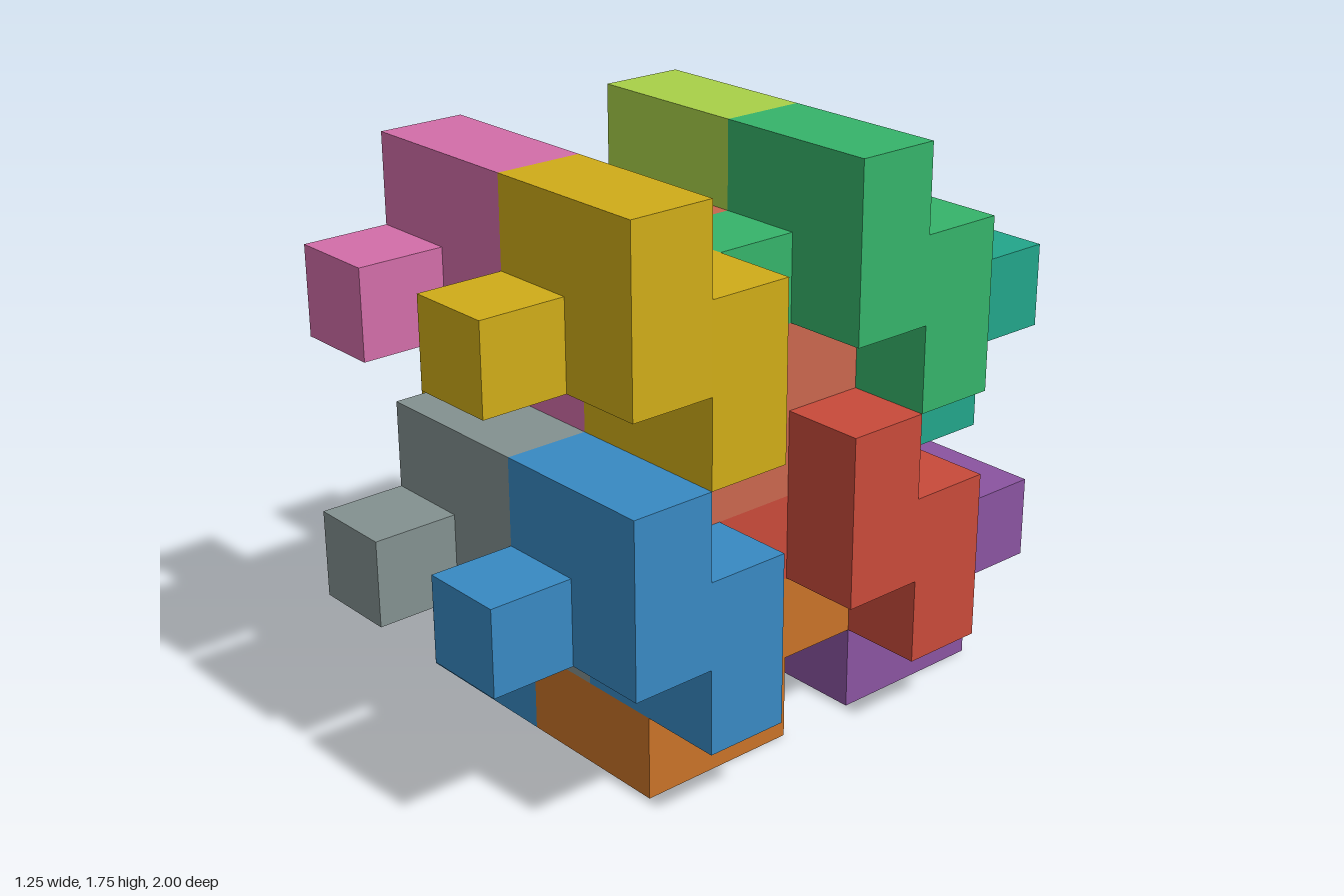
import * as THREE from 'three';

const C = 0.25; // edge of one cubic cell

// Z-shaped bar, two cells long, running along +x from the origin
function makeBarGeometry() {
  const outline = [[-1.5, -1.5], [0.5, -1.5], [0.5, -0.5], [1.5, -0.5],
    [1.5, 0.5], [-0.5, 0.5], [-0.5, -0.5], [-1.5, -0.5]];
  const shape = new THREE.Shape(outline.map(([u, v]) => new THREE.Vector2(u * C, v * C)));
  return new THREE.ExtrudeGeometry(shape, { depth: 2 * C, bevelEnabled: false }).rotateY(Math.PI / 2);
}

// One puzzle piece: Z bar with a cubic knob on its first cell
function makePiece(name, color, bar, knob) {
  const piece = new THREE.Group();
  piece.name = name;
  const material = new THREE.MeshStandardMaterial({ color });
  const body = new THREE.Mesh(bar, material);
  body.name = 'bar';
  const stud = new THREE.Mesh(knob, material);
  stud.name = 'knob';
  stud.position.set(C / 2, C, 0);
  piece.add(body, stud);
  return piece;
}

export function createModel() {
  const model = new THREE.Group();
  model.name = 'interlockingBlocks';
  const bar = makeBarGeometry();
  const knob = new THREE.BoxGeometry(C, C, C);

  // Four identical clusters, stacked two high and two deep, each in three colours
  const clusters = [
    { name: 'lowerFront', up: 0, back: 0, colors: [0x839190, 0x3889c2, 0xc87228] },
    { name: 'upperFront', up: 3, back: 0, colors: [0xd26da8, 0xcfac18, 0xc9664e] },
    { name: 'lowerBack', up: 0, back: 3, colors: [0x34495e, 0xc84a3a, 0x8a54a0] },
    { name: 'upperBack', up: 3, back: 3, colors: [0xa8d048, 0x35b36a, 0x22a58a] },
  ];

  // Pieces of a cluster: first cell column, row and depth of the centre, quarter turn, colour
  const pieces = [
    { name: 'baseRightPiece', i: 0, j: 1, k: 4, turn: 0, color: 1 },
    { name: 'baseLeftPiece', i: 2, j: 1, k: 4, turn: 0, color: 2 },
    { name: 'frontRightPiece', i: 1, j: 2, k: 6, turn: 1, color: 0 },
    { name: 'frontLeftPiece', i: 3, j: 2, k: 6, turn: 1, color: 1 },
  ];

  for (const { name, up, back, colors } of clusters) {
    const cluster = new THREE.Group();
    cluster.name = name + 'Cluster';
    cluster.position.set(0, up * C, -back * C);
    for (const p of pieces) {
      const piece = makePiece(p.name, colors[p.color], bar, knob);
      piece.position.set((p.i - 2.5) * C, (p.j + 0.5) * C, (p.k - 3.5) * C);
      piece.rotation.x = p.turn * Math.PI / 2;
      cluster.add(piece);
    }
    model.add(cluster);
  }
  return model;
}
